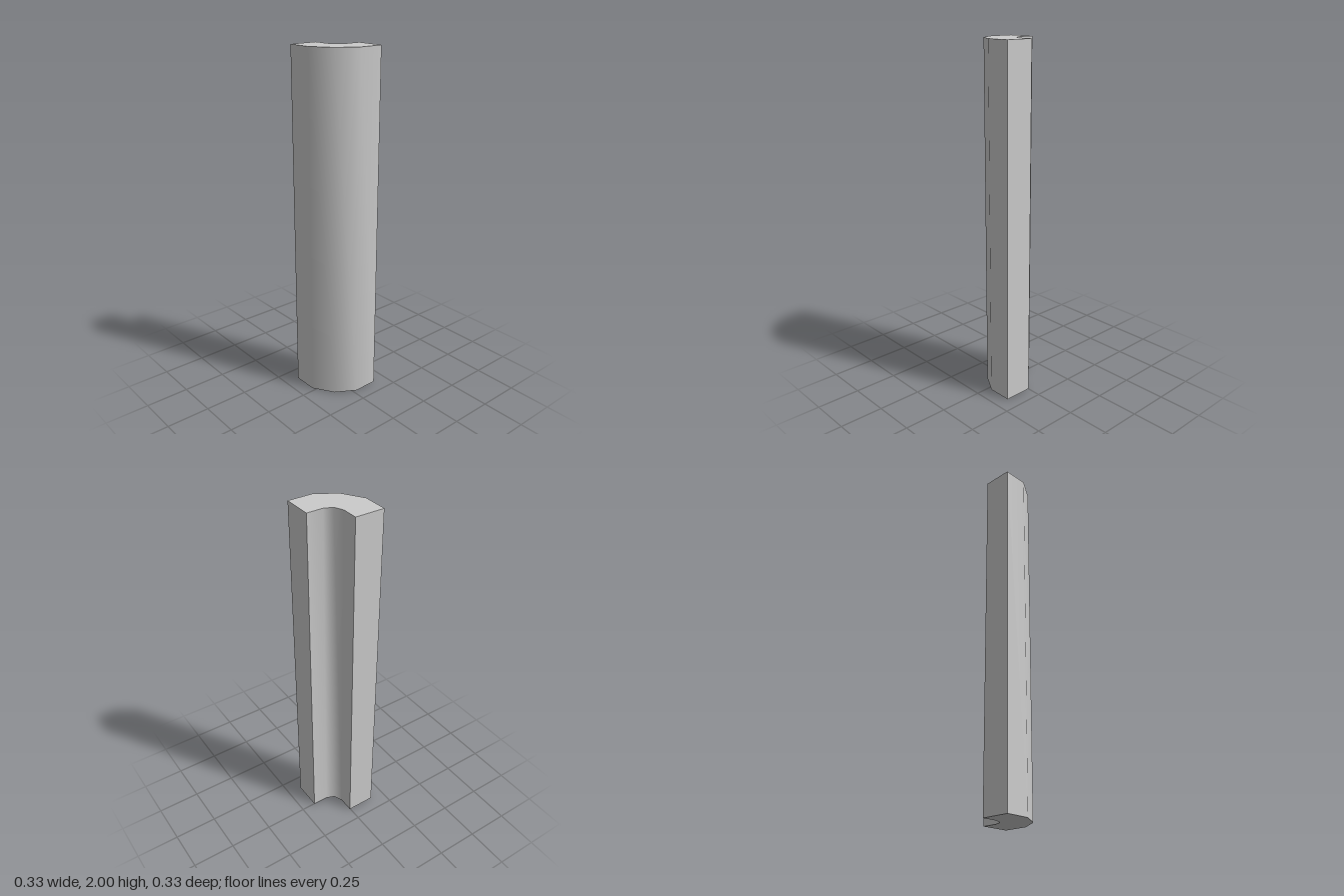
import * as THREE from 'three';
import { toCreasedNormals } from 'three/addons/utils/BufferGeometryUtils.js';

export function createModel() {
  const group = new THREE.Group();
  group.name = 'cornerMoulding';

  // Elbow-shaped plan outline as [x, z] points
  const outer = [[-0.165, 0.163], [-0.022, 0.163], [0.097, 0.09], [0.165, -0.023], [0.165, -0.165]];
  const inner = [[-0.002, -0.165], [-0.002, -0.073], [-0.022, -0.026], [-0.073, -0.003], [-0.165, -0.003]];
  const outline = new THREE.Shape([...outer, ...inner].map(([x, z]) => new THREE.Vector2(x, -z)));

  // Extrude upwards; the curved faces are smooth, the square corners and ends sharp
  const geometry = new THREE.ExtrudeGeometry(outline, { depth: 2, bevelEnabled: false });
  geometry.rotateX(-Math.PI / 2);

  const post = new THREE.Mesh(
    toCreasedNormals(geometry, Math.PI / 3),
    new THREE.MeshStandardMaterial({ color: 0xcccccc })
  );
  post.name = 'cornerPost';
  group.add(post);
  return group;
}
